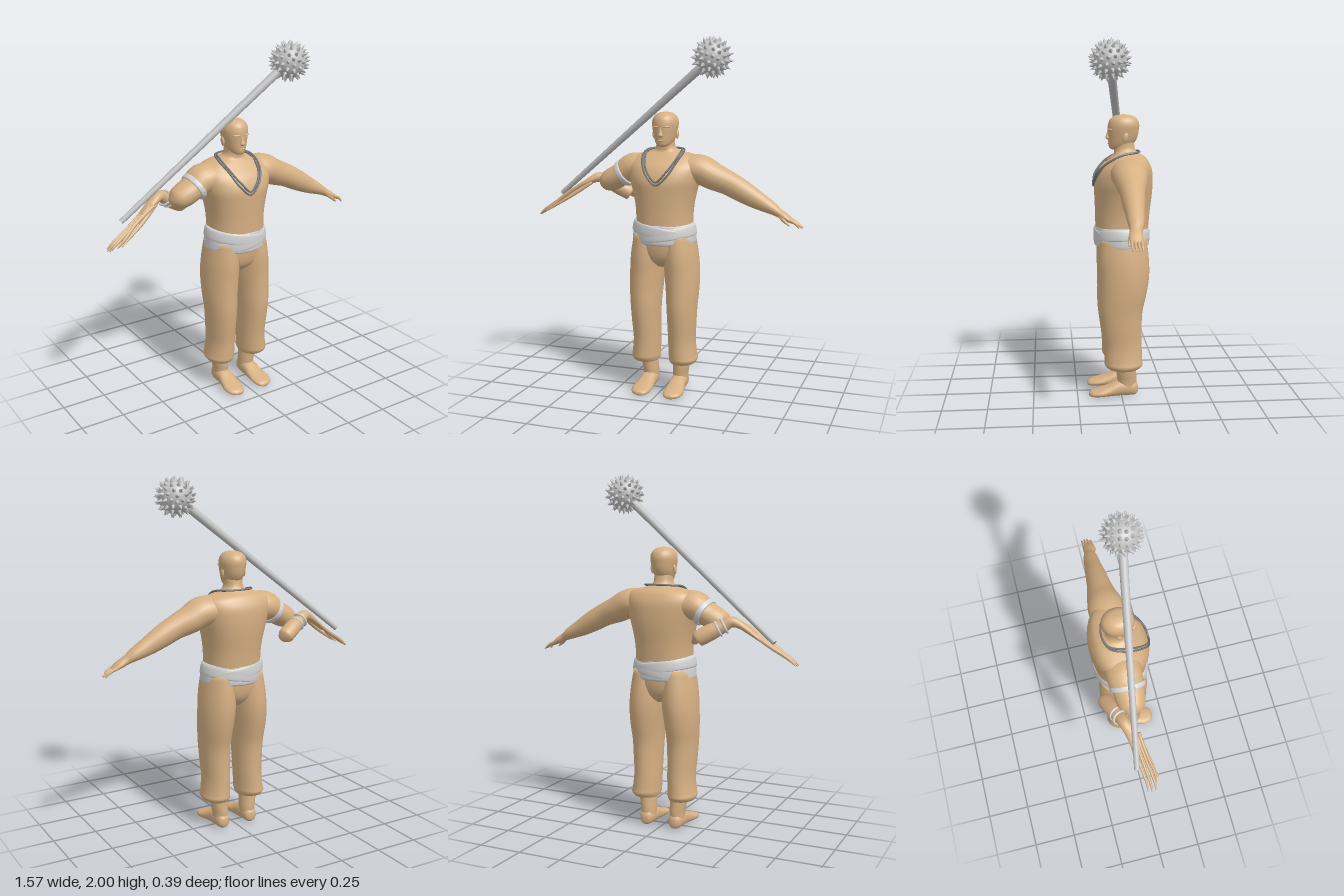
import * as THREE from 'three';
import { mergeGeometries } from 'three/addons/utils/BufferGeometryUtils.js';

const V = (x, y, z) => new THREE.Vector3(x, y, z);
const UP = V(0, 1, 0), Z = V(0, 0, 1);
const mat = (name, color) => Object.assign(new THREE.MeshStandardMaterial({ color }), { name });

// Smooth closed loft through sections [x, y, z, ra, rb]; rings face the path, or a fixed axis
function loft(sections, { axis = null, ref = Z, sides = 24, steps = 4, power = 1 } = {}) {
  const path = new THREE.CatmullRomCurve3(sections.map(s => V(s[0], s[1], s[2])), false, 'catmullrom', 0.5);
  const radii = new THREE.CatmullRomCurve3(sections.map(s => V(s[3], s[4], 0)), false, 'catmullrom', 0.5);
  const n = (sections.length - 1) * steps, pos = [], idx = [];
  const bend = v => Math.sign(v) * Math.abs(v) ** power;
  for (let i = 0; i <= n; i++) {
    const c = path.getPoint(i / n), r = radii.getPoint(i / n);
    const t = axis ? axis.clone().normalize() : path.getTangent(i / n);
    const b = ref.clone().addScaledVector(t, -ref.dot(t)).normalize();
    const a = t.clone().cross(b);
    for (let j = 0; j < sides; j++) {
      const q = j / sides * Math.PI * 2;
      const p = c.clone().addScaledVector(a, bend(Math.cos(q)) * Math.max(r.x, 0.001))
        .addScaledVector(b, bend(Math.sin(q)) * Math.max(r.y, 0.001));
      pos.push(p.x, p.y, p.z);
      if (i < n) {
        const k = i * sides + j, l = i * sides + (j + 1) % sides;
        idx.push(k, k + sides, l, l, k + sides, l + sides);
      }
    }
  }
  // end caps
  [[0, path.getPoint(0)], [n, path.getPoint(1)]].forEach(([row, c]) => {
    const m = pos.length / 3;
    pos.push(c.x, c.y, c.z);
    for (let j = 0; j < sides; j++) {
      const k = row * sides + j, l = row * sides + (j + 1) % sides;
      idx.push(m, row ? l : k, row ? k : l);
    }
  });
  const g = new THREE.BufferGeometry();
  g.setAttribute('position', new THREE.Float32BufferAttribute(pos, 3));
  g.setIndex(idx);
  g.computeVertexNormals();
  return g;
}

export function createModel() {
  const model = new THREE.Group();
  const skin = mat('tan', 0xd6b083), cloth = mat('lightGrey', 0xd2d2d2);
  const metal = mat('steelGrey', 0xc2c2c2), dark = mat('darkGrey', 0x777777);
  const add = (name, geometry, material) => {
    const m = new THREE.Mesh(geometry, material);
    m.name = name;
    model.add(m);
    return m;
  };
  const flip = (list, s) => list.map(([x, ...rest]) => [x * s, ...rest]);
  const ball = (name, p, s) => {
    const m = add(name, new THREE.SphereGeometry(1, 16, 12), skin);
    m.position.set(...p);
    m.scale.set(...s);
    return m;
  };

  // Trunk and neck
  add('torso', loft([
    [0, 0.93, -0.008, 0.16, 0.147], [0, 1.05, -0.012, 0.162, 0.153], [0, 1.15, -0.016, 0.18, 0.161],
    [0, 1.22, -0.018, 0.2, 0.163], [0, 1.29, -0.03, 0.213, 0.147], [0, 1.335, -0.042, 0.2, 0.117],
    [0, 1.36, -0.045, 0.155, 0.095], [0, 1.378, -0.038, 0.085, 0.072], [0, 1.4, -0.026, 0.054, 0.06],
    [0, 1.45, -0.02, 0.05, 0.056],
  ], { axis: UP, sides: 36, power: 0.9 }), skin);

  // Head with face details
  add('head', loft([
    [0, 1.402, 0.03, 0.015, 0.015], [0, 1.412, 0.015, 0.036, 0.045], [0, 1.435, -0.005, 0.052, 0.07],
    [0, 1.47, -0.015, 0.063, 0.082], [0, 1.51, -0.018, 0.071, 0.087], [0, 1.54, -0.02, 0.073, 0.087],
    [0, 1.567, -0.02, 0.064, 0.077], [0, 1.587, -0.02, 0.042, 0.05], [0, 1.595, -0.02, 0.008, 0.01],
  ], { axis: UP, sides: 32 }), skin);
  add('nose', loft([
    [0, 1.457, 0.065, 0.01, 0.006], [0, 1.466, 0.069, 0.015, 0.013], [0, 1.485, 0.066, 0.009, 0.01],
    [0, 1.51, 0.062, 0.006, 0.007],
  ], { axis: UP, sides: 10 }), skin);
  ball('mouth', [0, 1.437, 0.062], [0.018, 0.005, 0.007]);
  for (const s of [1, -1]) {
    ball('ear', [0.069 * s, 1.472, -0.025], [0.008, 0.026, 0.016]).rotation.x = -0.25;
    ball('brow', [0.03 * s, 1.513, 0.056], [0.024, 0.006, 0.012]).rotation.y = 0.3 * s;
  }

  // Trousers, ankles and feet
  add('trouserSeat', loft([
    [0, 0.73, -0.01, 0.04, 0.07], [0, 0.77, -0.01, 0.13, 0.115], [0, 0.83, -0.01, 0.178, 0.135],
    [0, 0.93, -0.008, 0.168, 0.142],
  ], { axis: UP, sides: 32 }), skin);
  for (const s of [1, -1]) {
    add('trouserLeg', loft(flip([
      [0.108, 0.185, -0.015, 0.05, 0.06], [0.108, 0.165, -0.012, 0.068, 0.08], [0.113, 0.188, -0.012, 0.081, 0.106],
      [0.11, 0.22, -0.01, 0.079, 0.107], [0.105, 0.3, -0.007, 0.076, 0.107], [0.107, 0.4, 0, 0.08, 0.113],
      [0.108, 0.5, 0.003, 0.085, 0.121], [0.108, 0.6, -0.008, 0.092, 0.132], [0.103, 0.7, -0.015, 0.097, 0.14],
      [0.097, 0.8, -0.012, 0.095, 0.141], [0.09, 0.92, -0.01, 0.082, 0.13],
    ], s), { axis: UP }), skin);
    add('ankle', loft(flip([
      [0.09, 0.035, -0.035, 0.042, 0.048], [0.09, 0.09, -0.032, 0.044, 0.055], [0.095, 0.14, -0.028, 0.047, 0.056],
      [0.1, 0.21, -0.025, 0.05, 0.055],
    ], s), { axis: UP }), skin);
    add('foot', loft(flip([
      [0.09, 0.04, -0.093, 0.018, 0.022], [0.09, 0.045, -0.075, 0.036, 0.042], [0.09, 0.049, -0.03, 0.044, 0.047],
      [0.09, 0.045, 0.02, 0.046, 0.044], [0.092, 0.033, 0.07, 0.052, 0.032], [0.095, 0.024, 0.12, 0.057, 0.023],
      [0.094, 0.018, 0.165, 0.045, 0.017], [0.088, 0.014, 0.185, 0.02, 0.009],
    ], s), { axis: Z, ref: UP, power: 0.9 }), skin);
  }

  // Waist sash: a base wrap and two crossing layers
  add('sash', loft([
    [0, 0.862, -0.008, 0.17, 0.146], [0, 0.876, -0.008, 0.183, 0.155], [0, 0.94, -0.008, 0.179, 0.152],
    [0, 0.972, -0.008, 0.17, 0.15], [0, 0.98, -0.008, 0.15, 0.136],
  ], { axis: UP, sides: 36 }), cloth);
  for (const s of [1, -1]) {
    const axis = V(0.16 * s, 1, 0).normalize();
    const layer = [[-0.036, 0.17, 0.148], [-0.028, 0.183, 0.158], [0.02, 0.181, 0.157], [0.032, 0.166, 0.148]];
    const rise = s > 0 ? 0.938 : 0.918;
    add('sashLayer', loft(layer.map(([h, a, b]) =>
      [axis.x * h, rise + axis.y * h, -0.008, a, b]), { axis, sides: 36 }), cloth);
  }

  // Outstretched left arm and hand
  add('leftArm', loft([
    [0.12, 1.28, -0.035, 0.08, 0.1], [0.2, 1.277, -0.035, 0.083, 0.1], [0.28, 1.24, -0.037, 0.076, 0.085],
    [0.36, 1.208, -0.035, 0.067, 0.068], [0.44, 1.167, -0.033, 0.062, 0.06], [0.52, 1.124, -0.032, 0.051, 0.05],
    [0.6, 1.085, -0.03, 0.036, 0.042], [0.645, 1.06, -0.025, 0.025, 0.032], [0.69, 1.035, -0.02, 0.02, 0.036],
    [0.73, 1.012, -0.02, 0.01, 0.03],
  ]), skin);
  for (let i = 0; i < 4; i++) {
    const z = -0.045 + i * 0.0165, end = [0.775, 0.783, 0.78, 0.765][i];
    add('leftFinger', loft([
      [0.7, 1.03, z, 0.009, 0.008], [0.745, 1.008, z, 0.008, 0.0075], [end, 0.982, z - 0.002, 0.003, 0.003],
    ], { sides: 8 }), skin);
  }
  add('leftThumb', loft([
    [0.655, 1.05, -0.005, 0.014, 0.012], [0.685, 1.02, 0.01, 0.01, 0.01], [0.715, 0.995, 0.014, 0.004, 0.004],
  ], { sides: 8 }), skin);

  // Bent right arm: upper arm, folded forearm, long hand
  add('rightUpperArm', loft([
    [-0.12, 1.28, -0.035, 0.08, 0.1], [-0.2, 1.275, -0.035, 0.083, 0.098], [-0.26, 1.24, -0.03, 0.068, 0.087],
    [-0.32, 1.207, -0.03, 0.066, 0.08], [-0.365, 1.188, -0.035, 0.054, 0.064], [-0.395, 1.178, -0.04, 0.018, 0.025],
  ]), skin);
  add('rightForearm', loft([
    [-0.262, 1.11, -0.157, 0.034, 0.036], [-0.27, 1.115, -0.154, 0.044, 0.045], [-0.33, 1.15, -0.13, 0.045, 0.046],
    [-0.385, 1.178, -0.11, 0.036, 0.038], [-0.43, 1.205, -0.095, 0.03, 0.032], [-0.48, 1.188, -0.075, 0.022, 0.032],
    [-0.55, 1.14, -0.055, 0.014, 0.033], [-0.6, 1.1, -0.045, 0.008, 0.028],
  ]), skin);
  [[-0.775, 0.985, -0.048], [-0.783, 0.979, -0.028], [-0.78, 0.983, -0.005], [-0.74, 1.0, 0.008]].forEach(([x, y, z], i) => {
    const z0 = -0.08 + i * 0.016;
    add('rightFinger', loft([
      [-0.5, 1.18, z0, 0.012, 0.01], [-0.62, 1.09 + i * 0.004, (z0 + z) / 2, 0.01, 0.008],
      [x * 0.94, y + 0.038, z, 0.009, 0.007], [x, y, z, 0.003, 0.003],
    ], { sides: 8 }), skin);
  });
  add('rightThumb', loft([
    [-0.47, 1.18, -0.06, 0.014, 0.012], [-0.58, 1.1, -0.015, 0.011, 0.01], [-0.72, 1.01, 0.022, 0.004, 0.004],
  ], { sides: 8 }), skin);

  // Armband and two wrist bands
  add('armband', loft([
    [-0.238, 1.251, -0.03, 0.072, 0.09], [-0.241, 1.249, -0.03, 0.079, 0.098], [-0.261, 1.237, -0.03, 0.077, 0.096],
    [-0.264, 1.235, -0.03, 0.07, 0.088],
  ], { axis: V(-0.86, -0.5, 0), sides: 32 }), cloth);
  for (const [x, y, z] of [[-0.365, 1.167, -0.117], [-0.395, 1.184, -0.106]]) {
    const ring = add('wristBand', new THREE.TorusGeometry(0.04, 0.007, 8, 28), cloth);
    ring.position.set(x, y, z);
    ring.lookAt(x - 0.11, y + 0.06, z + 0.045);
  }

  // Two-strand necklace
  for (const [w, lift] of [[1, 0], [0.86, 0.017]]) {
    const half = [[0.08, 1.388, -0.085], [0.112, 1.378, -0.01], [0.1, 1.325, 0.088], [0.06, 1.25 + lift, 0.138]];
    const pts = [[0, 1.39, -0.108], ...half, [0, 1.2 + lift, 0.151], ...flip(half, -1).reverse()];
    const curve = new THREE.CatmullRomCurve3(pts.map(([x, y, z]) => V(x * w, y, z)), true);
    add('necklace', new THREE.TubeGeometry(curve, 72, 0.0055, 6, true), dark);
  }

  // Mace: tapered shaft and studded head
  const butt = V(-0.67, 1.105, -0.085), top = V(0.295, 1.888, 0.077);
  const shaft = add('maceShaft', new THREE.CylinderGeometry(0.025, 0.015, butt.distanceTo(top), 16), metal);
  shaft.position.copy(butt).lerp(top, 0.5);
  shaft.quaternion.setFromUnitVectors(UP, top.clone().sub(butt).normalize());

  const parts = [new THREE.SphereGeometry(0.092, 28, 18)];
  const rows = 9;
  for (let i = 0; i <= rows; i++) {
    const lat = i / rows * Math.PI, count = Math.max(1, Math.round(16 * Math.sin(lat)));
    for (let j = 0; j < count; j++) {
      const lon = (j + (i % 2) / 2) / count * Math.PI * 2;
      const d = V(Math.sin(lat) * Math.cos(lon), Math.cos(lat), Math.sin(lat) * Math.sin(lon));
      const spike = new THREE.ConeGeometry(0.015, 0.034, 8);
      spike.applyQuaternion(new THREE.Quaternion().setFromUnitVectors(UP, d));
      parts.push(spike.translate(d.x * 0.1, d.y * 0.1, d.z * 0.1));
    }
  }
  const head = add('maceHead', mergeGeometries(parts), metal);
  head.position.copy(top);
  head.quaternion.setFromUnitVectors(UP, V(-0.35, 0.25, 0.9).normalize());

  return model;
}
